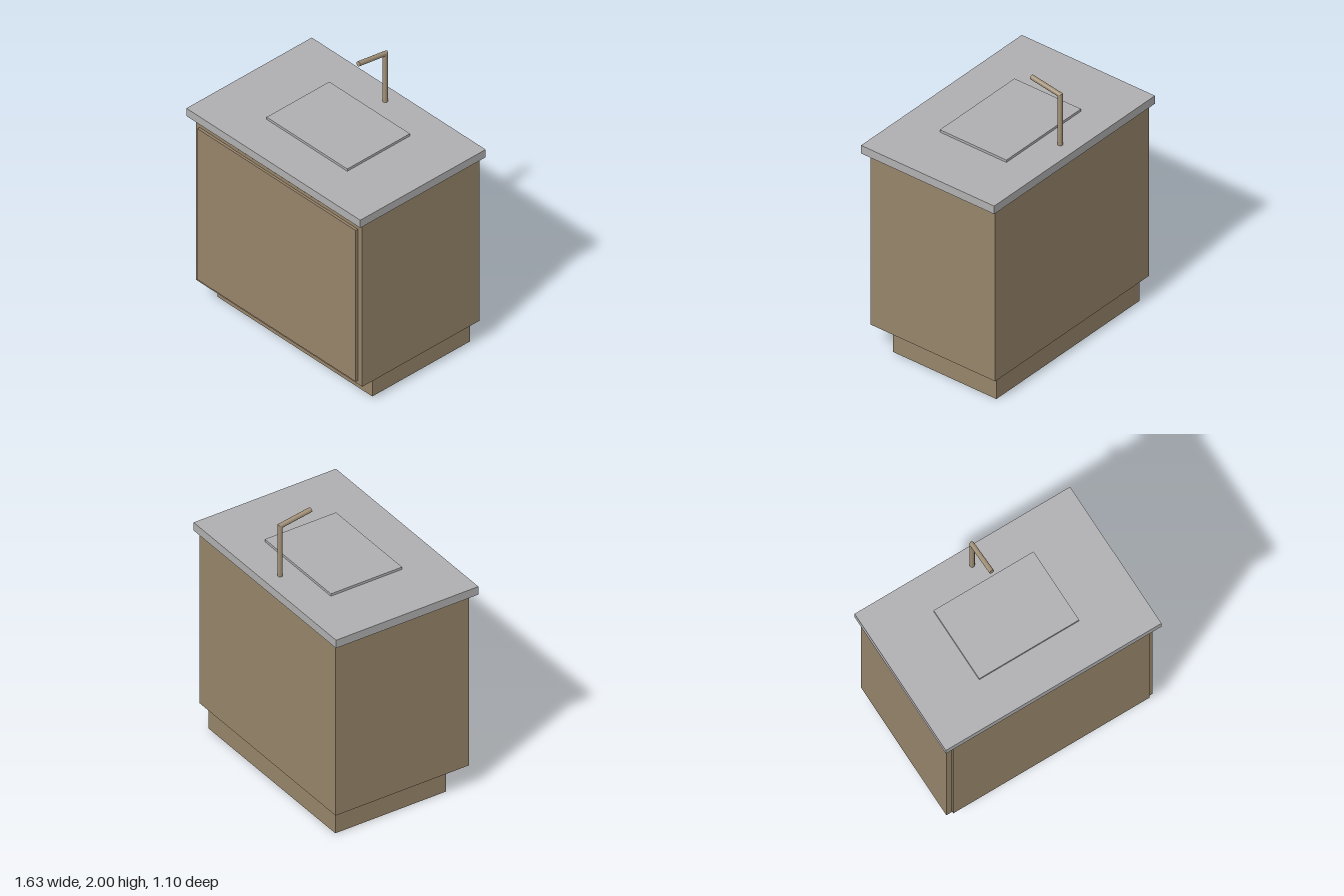
import * as THREE from 'three';
import { toCreasedNormals } from 'three/addons/utils/BufferGeometryUtils.js';

const material = (name, color) => {
  const m = new THREE.MeshStandardMaterial({ color });
  m.name = name;
  return m;
};

// Mitred pipe: rises vertically, then runs forward and slightly upward.
function faucetGeometry(radius, base, elbow, tip) {
  const g = new THREE.CylinderGeometry(radius, radius, 2, 16, 2);
  const dir = tip.clone().sub(elbow).normalize();
  const miter = dir.z / (1 + dir.y);
  const p = g.attributes.position;
  for (let i = 0; i < p.count; i++) {
    const x = p.getX(i), level = Math.round(p.getY(i)), z = p.getZ(i);
    if (level < 0) p.setXYZ(i, x, base.y, base.z + z);
    else if (level === 0) p.setXYZ(i, x, elbow.y - z * miter, elbow.z + z);
    else p.setXYZ(i, x, tip.y - z * dir.z, tip.z + z * dir.y);
  }
  return toCreasedNormals(g, 0.6);
}

export function createModel() {
  const group = new THREE.Group();
  group.name = 'sinkCabinet';
  const wood = material('tan cabinet', 0x97856b);
  const stone = material('grey countertop', 0xb0b0b2);
  const metal = material('faucet metal', 0xa08f76);

  const add = (name, geometry, mat) => {
    const mesh = new THREE.Mesh(geometry, mat);
    mesh.name = name;
    group.add(mesh);
    return mesh;
  };
  // Box centred on x, given its half width and its y and z ranges
  const slab = (name, mat, hw, y0, y1, z0, z1) =>
    add(name, new THREE.BoxGeometry(hw * 2, y1 - y0, z1 - z0), mat)
      .position.set(0, (y0 + y1) / 2, (z0 + z1) / 2);

  // Cabinet
  slab('plinth', wood, 0.725, 0, 0.18, -0.495, 0.36);
  slab('cabinetBody', wood, 0.78, 0.18, 1.5, -0.53, 0.5);
  slab('frontPanel', wood, 0.742, 0.212, 1.425, 0.5, 0.522);

  // Finger-pull strip above the front panel
  slab('pullStrip', wood, 0.742, 1.425, 1.45, 0.5, 0.503);
  slab('pullGrip', wood, 0.43, 1.425, 1.45, 0.503, 0.505);

  // Worktop and basin cover
  slab('countertop', stone, 0.815, 1.5, 1.562, -0.55, 0.55);
  slab('basinCover', stone, 0.378, 1.562, 1.58, -0.295, 0.255);

  // Faucet
  add('faucet', faucetGeometry(0.017,
    new THREE.Vector3(0, 1.562, -0.432),
    new THREE.Vector3(0, 1.945, -0.432),
    new THREE.Vector3(0, 1.983, -0.195)), metal);

  return group;
}
